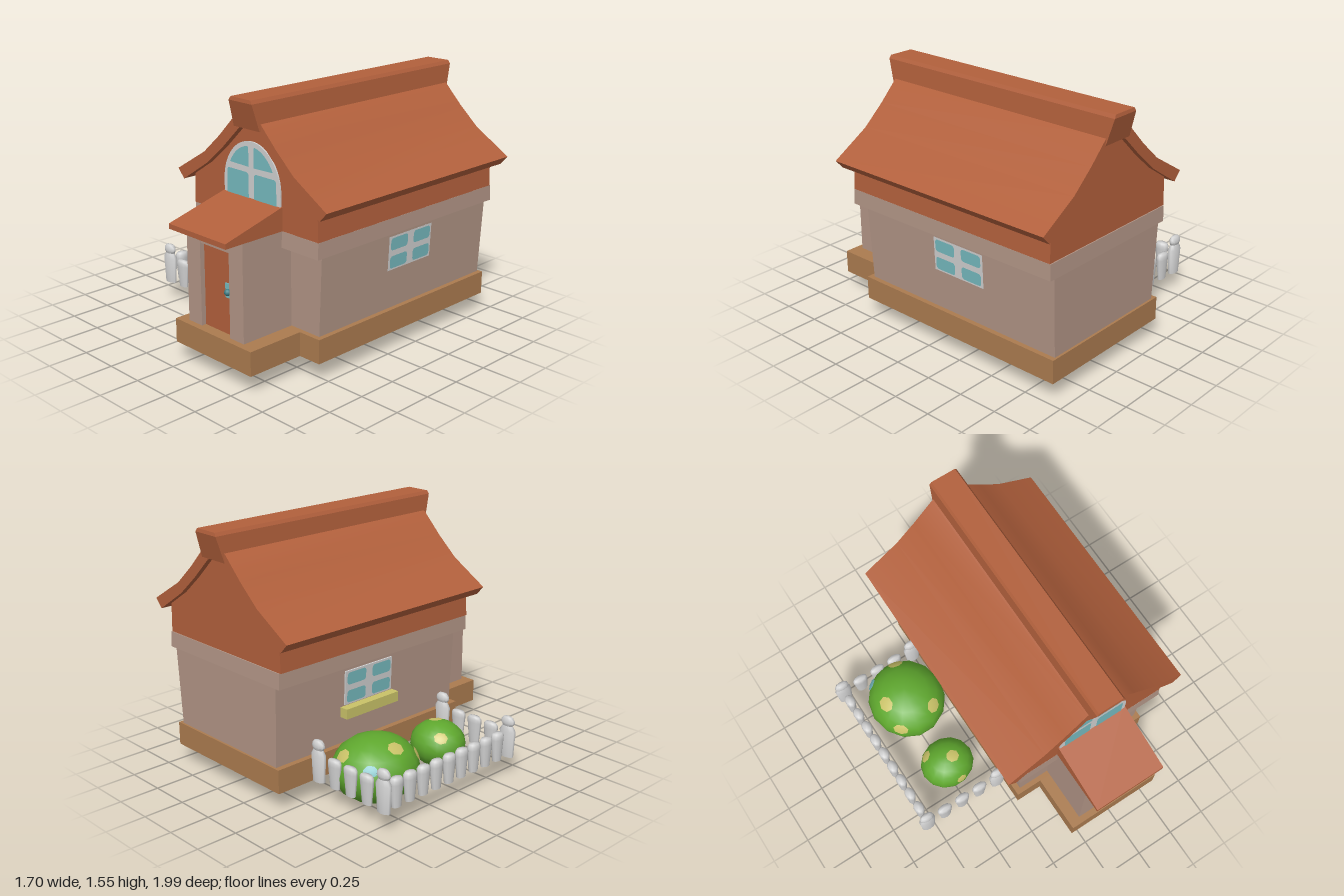
import * as THREE from 'three';
import { toCreasedNormals } from 'three/addons/utils/BufferGeometryUtils.js';

const mat = (name, color) => Object.assign(new THREE.MeshStandardMaterial({ color }), { name });
const CX = 0.245; // house centre line

export function createModel() {
  const tile = mat('terracotta', 0xb2603c);
  const plaster = mat('plaster', 0xb29586);
  const wood = mat('wood', 0xab7b4f);
  const white = mat('pale grey', 0xd0d0d0);
  const glass = mat('glass teal', 0x76babf);
  const metal = mat('dark teal', 0x3f8088);
  const green = mat('leaf green', 0x5fa82e);
  const yellow = mat('soft yellow', 0xc9c268);

  const model = new THREE.Group();
  model.name = 'cottage';
  const add = (name, geo, material, parent = model) => {
    const m = new THREE.Mesh(geo, material);
    m.name = name;
    parent.add(m);
    return m;
  };
  const poly = (pts) => new THREE.Shape(pts.map(([x, y]) => new THREE.Vector2(x, y)));
  const extrude = (shape, depth) => new THREE.ExtrudeGeometry(shape, { depth, bevelEnabled: false, curveSegments: 12 });
  // Box between limits; its bottom (b) or top (t) end can be drawn in: [x inset, z inset]
  const box = (x0, x1, y0, y1, z0, z1, b = [0, 0], t = [0, 0]) => {
    const g = new THREE.BoxGeometry(x1 - x0, y1 - y0, z1 - z0);
    const p = g.attributes.position;
    for (let i = 0; i < p.count; i++) {
      const d = p.getY(i) < 0 ? b : t;
      p.setX(i, p.getX(i) - Math.sign(p.getX(i)) * d[0]);
      p.setZ(i, p.getZ(i) - Math.sign(p.getZ(i)) * d[1]);
    }
    g.translate((x0 + x1) / 2, (y0 + y1) / 2, (z0 + z1) / 2);
    g.computeVertexNormals();
    return g;
  };
  const roundedRect = (x, y, w, h, r) => {
    const s = new THREE.Shape();
    s.absarc(x + w - r, y + r, r, -Math.PI / 2, 0);
    s.absarc(x + w - r, y + h - r, r, 0, Math.PI / 2);
    s.absarc(x + r, y + h - r, r, Math.PI / 2, Math.PI);
    s.absarc(x + r, y + r, r, Math.PI, Math.PI * 1.5);
    return s;
  };

  // Stepped wooden foundation with its underside
  const plan = poly([[-0.23, -0.925], [0.725, -0.925], [0.725, 0.55], [0.575, 0.55],
    [0.575, 0.92], [-0.06, 0.92], [-0.06, 0.55], [-0.23, 0.55]]);
  add('foundation', extrude(plan, 0.145).rotateX(Math.PI / 2).translate(0, 0.265, 0), wood);
  add('underside', new THREE.ShapeGeometry(plan).rotateX(Math.PI / 2).translate(0, 0.118, 0), white);
  const patches = [
    poly([[0.72, 0.52], [0.6, -0.61], [0.49, -0.68], [0.55, 0.47]]),
    roundedRect(-0.14, -0.01, 0.16, 0.17, 0.04), roundedRect(-0.13, -0.34, 0.16, 0.26, 0.03),
    roundedRect(-0.16, -0.67, 0.16, 0.26, 0.03), roundedRect(-0.13, -0.86, 0.06, 0.1, 0.02),
    roundedRect(-0.21, -0.86, 0.05, 0.1, 0.02),
  ];
  patches.forEach((s) => add('undersidePatch', new THREE.ShapeGeometry(s).rotateX(Math.PI / 2).translate(0, 0.114, 0), glass));

  // Walls, leaning slightly outward, and the band around their top
  add('walls', box(-0.217, 0.717, 0.265, 0.76, -0.917, 0.525, [0.022, 0.006]), plaster);
  add('wallBand', box(-0.26, 0.76, 0.75, 0.845, -0.925, 0.595, [0.004, 0], [0.006, 0.004]), plaster);

  // Porch: side pillars, lintel and a recessed door
  for (const s of [-1, 1]) {
    const a = CX + s * 0.12, b = CX + s * 0.232;
    add('porchPillar', box(Math.min(a, b), Math.max(a, b), 0.265, 0.845, 0.5, 0.88), plaster);
  }
  add('porchLintel', box(CX - 0.12, CX + 0.12, 0.76, 0.845, 0.5, 0.875), plaster);
  add('door', box(CX - 0.12, CX + 0.125, 0.265, 0.762, 0.5, 0.85), tile);
  add('lockPlate', box(0.305, 0.367, 0.485, 0.57, 0.848, 0.857), glass);
  add('doorKnob', new THREE.SphereGeometry(0.02, 12, 8).translate(0.337, 0.525, 0.868), metal);
  const porchRoof = poly([[-0.58, 0.845], [-1, 0.843], [-1, 0.873], [-0.58, 0.985]]);
  add('porchRoof', extrude(porchRoof, 0.47).rotateY(Math.PI / 2).translate(0.01, 0, 0), tile);

  // Gabled upper storey and the swept roof, both mirrored about the centre line
  const outer = [[0.605, 1.04], [0.365, 1.185], [0.23, 1.305], [0.1, 1.437], [0, 1.47]];
  const inner = [[0.555, 0.985], [0.34, 1.125], [0.2, 1.245], [0.06, 1.38], [0, 1.4]];
  const mirror = (pts) => [...pts, ...pts.slice(0, -1).reverse().map(([x, y]) => [-x, y])];
  const roofShape = poly([...mirror(outer), ...mirror(inner).reverse()]);
  add('roof', toCreasedNormals(extrude(roofShape, 1.58).translate(CX, 0, -0.95), 0.5), tile);
  const gable = poly(mirror([[0.508, 0.845], [0.5, 1.025], [0.34, 1.13], [0.2, 1.25], [0.06, 1.385], [0, 1.405]]));
  add('gableStorey', extrude(gable, 1.505).translate(CX, 0, -0.915), tile);
  add('ridgeCap', box(CX - 0.09, CX + 0.11, 1.385, 1.54, -0.995, 0.685, [-0.004, 0.045], [0.008, 0]), tile);
  add('ridgeCapTop', box(CX - 0.082, CX + 0.102, 1.54, 1.56, -0.995, 0.685, [0, 0], [0.012, 0.004]), tile);

  // Arched gable window with four panes
  const arch = new THREE.Group();
  arch.name = 'archWindow';
  arch.position.set(CX, 0, 0.59);
  model.add(arch);
  const frame = new THREE.Shape();
  frame.moveTo(-0.228, 0.95);
  frame.lineTo(0.228, 0.95);
  frame.absellipse(0, 1.05, 0.228, 0.255, 0, Math.PI);
  add('archFrame', extrude(frame, 0.009), white, arch);
  for (const s of [-1, 1]) {
    const top = new THREE.Shape();
    top.moveTo(s * 0.02, 1.158);
    for (let i = 0; i <= 8; i++) {
      const a = 0.5 + (i / 8) * 0.92;
      top.lineTo(s * 0.198 * Math.cos(a), 1.055 + 0.223 * Math.sin(a));
    }
    top.lineTo(s * 0.022, 1.27);
    add('archPane', new THREE.ShapeGeometry(top).translate(0, 0, 0.012), glass, arch);
    const low = roundedRect(s > 0 ? 0.022 : -0.2, 0.96, 0.178, 0.165, 0.02);
    add('archPane', new THREE.ShapeGeometry(low).translate(0, 0, 0.012), glass, arch);
  }

  // Side windows lying on the leaning walls
  for (const s of [-1, 1]) {
    const win = new THREE.Group();
    win.name = s > 0 ? 'leftWindow' : 'rightWindow';
    win.position.set(CX + s * 0.461, 0.61, -0.217);
    win.rotation.set(0.045, s * Math.PI / 2, 0, 'YXZ');
    model.add(win);
    add('windowFrame', new THREE.BoxGeometry(0.375, 0.21, 0.009), white, win);
    for (const x of [-0.174, 0.026]) for (const y of [-0.094, 0.018]) {
      add('windowPane', new THREE.ShapeGeometry(roundedRect(x, y, 0.148, 0.076, 0.02)).translate(0, 0, 0.007), glass, win);
    }
  }
  add('windowSill', box(-0.26, -0.2, 0.435, 0.497, -0.43, -0.01), yellow);

  // Bushes with coloured spots: [direction x, y, z, angular size, material]
  const bush = (name, pos, scale, spots) => {
    const g = new THREE.Group();
    g.name = name;
    g.position.set(...pos);
    g.scale.set(...scale);
    model.add(g);
    add('leaves', new THREE.SphereGeometry(1, 14, 10), green, g);
    for (const [x, y, z, size, m] of spots) {
      const cap = add('spot', new THREE.SphereGeometry(1.012, 7, 2, 0, Math.PI * 2, 0, size), m, g);
      cap.quaternion.setFromUnitVectors(new THREE.Vector3(0, 1, 0), new THREE.Vector3(x, y, z).normalize());
    }
  };
  bush('largeBush', [-0.475, 0.205, -0.41], [0.25, 0.197, 0.265], [
    [-0.6, 0.8, 0.05, 0.2, yellow], [-0.65, 0.4, 0.75, 0.2, yellow], [0.45, 0.65, 0.7, 0.2, yellow],
    [-0.6, 0.4, -0.7, 0.17, glass], [0.2, 0.6, -0.8, 0.2, yellow], [-0.9, -0.3, 0.2, 0.16, yellow],
    [-0.1, -0.75, 0.6, 0.15, yellow], [0.5, -0.6, -0.4, 0.16, yellow]]);
  bush('smallBush', [-0.485, 0.2, 0.105], [0.175, 0.14, 0.162], [
    [-0.6, 0.6, -0.55, 0.25, yellow], [0.2, 0.9, 0.1, 0.25, yellow], [0.1, 0.3, 0.95, 0.2, yellow],
    [-0.8, -0.4, 0.3, 0.2, glass], [0.5, -0.5, 0.6, 0.2, yellow]]);

  // Fence: flattened lathe pickets and knobbed posts
  const lathe = (pts, n) => toCreasedNormals(new THREE.LatheGeometry(pts.map(([r, y]) => new THREE.Vector2(r, y)), n), 0.9);
  const picketGeo = lathe([[0, 0.132], [0.036, 0.132], [0.051, 0.27], [0.051, 0.292], [0.04, 0.306], [0, 0.31]], 10);
  const postGeo = lathe([[0, 0.13], [0.046, 0.13], [0.056, 0.295], [0.036, 0.328], [0.048, 0.345],
    [0.046, 0.365], [0.03, 0.382], [0, 0.386]], 10);
  const stake = (name, geo, x, z, sx, sz) => {
    const m = add(name, geo, white);
    m.position.set(x, 0, z);
    m.scale.set(sx, 1, sz);
  };
  for (const z of [-0.665, 0.375]) {
    for (const x of [-0.67, -0.54, -0.41]) stake('picket', picketGeo, x, z, 1, 0.52);
    for (const x of [-0.8, -0.275]) stake('fencePost', postGeo, x, z, 1, 0.55);
  }
  for (let i = 0; i < 9; i++) stake('picket', picketGeo, -0.802, -0.57 + i * 0.106, 0.62, 0.88);

  return model;
}
